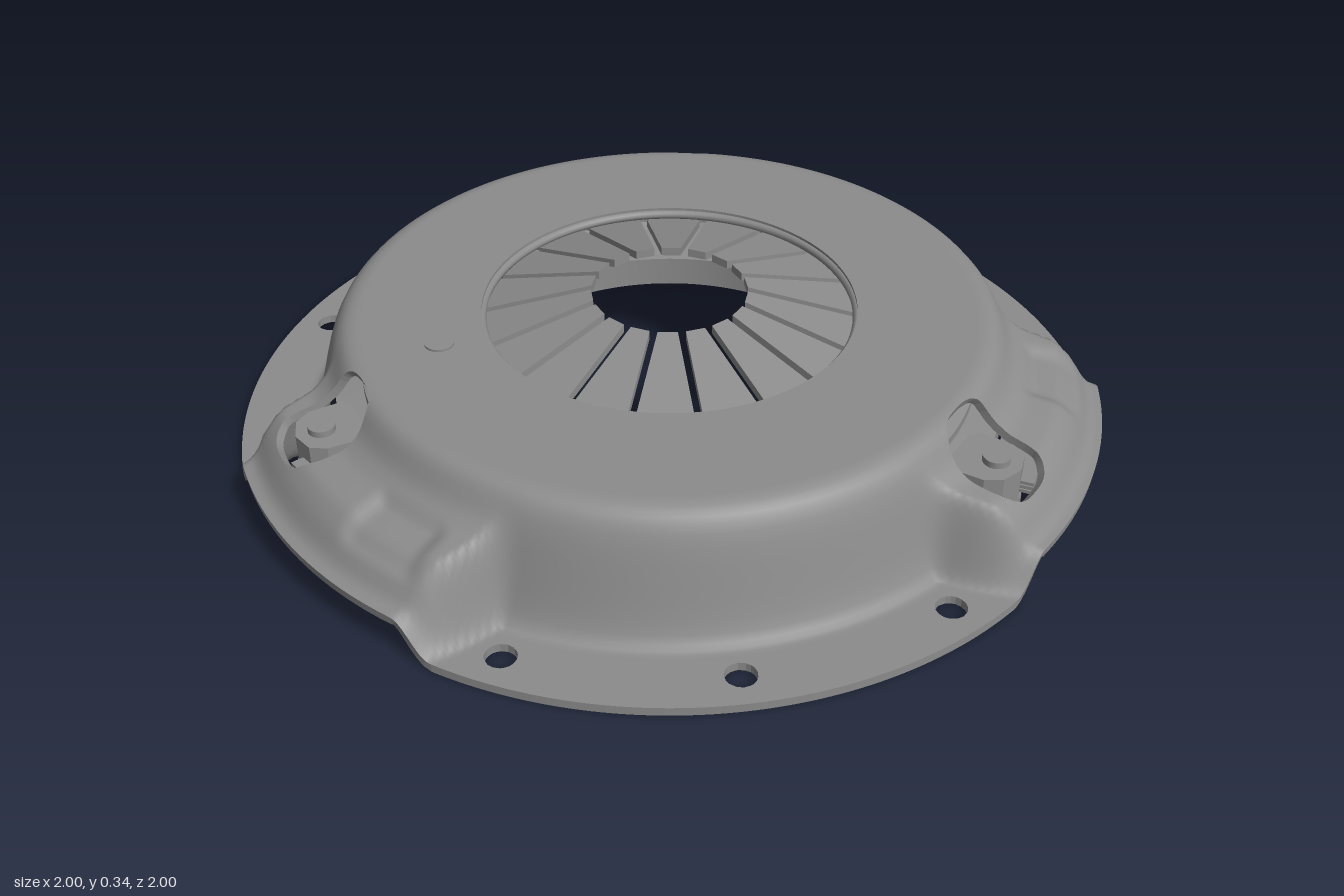
import * as THREE from 'three';
import { toCreasedNormals } from 'three/addons/utils/BufferGeometryUtils.js';

const RAD = Math.PI / 180;
const steel = new THREE.MeshStandardMaterial({ color: 0x8c8c8c });
steel.name = 'steel grey';

const SECTORS = [60, 180, 300]; // centres of the raised rim sectors, degrees from +x to +z
const WINDOW_OFFSET = 13;

// Radial profiles (radius, height) of the cover's top face
const FLANGE = [[0, 0.3], [0.72, 0.3], [0.75, 0.288], [0.775, 0.25], [0.8, 0.15], [0.825, 0.05], [0.845, 0.02], [2, 0.02]];
const RAISED = [[0, 0.3], [0.72, 0.3], [0.75, 0.288], [0.78, 0.235], [0.82, 0.207], [0.9, 0.192], [0.94, 0.155], [0.968, 0.107], [1, 0.1], [2, 0.1]];

function lookup(profile, r) {
  let i = 1;
  while (i < profile.length - 1 && profile[i][0] < r) i++;
  const [r0, y0] = profile[i - 1], [r1, y1] = profile[i];
  return y0 + (y1 - y0) * (r - r0) / (r1 - r0);
}

function smoothLookup(profile, r) {
  let sum = 0;
  for (let k = -2; k <= 2; k++) sum += lookup(profile, r + k * 0.006);
  return sum / 5;
}

// Height of the cover: flange profile blended into the raised one at each sector
function coverHeight(x, z) {
  const r = Math.hypot(x, z), deg = Math.atan2(z, x) / RAD;
  let d = 180;
  for (const c of SECTORS) {
    const e = ((deg - c + 540) % 360) - 180;
    if (Math.abs(e) < Math.abs(d)) d = e;
  }
  const half = 20.5 + (1 - Math.min(r, 1)) * 30;
  const w = THREE.MathUtils.smoothstep(half - Math.abs(d), -2.5, 2.5);
  // shallow seat for the strap rivets
  const seat = THREE.MathUtils.smoothstep(6 - Math.abs(d + 12), -1.5, 1.5)
    * THREE.MathUtils.smoothstep(0.06 - Math.abs(r - 0.88), -0.01, 0.02);
  return THREE.MathUtils.lerp(smoothLookup(FLANGE, r), smoothLookup(RAISED, r) - 0.015 * seat, w);
}

// Openings in the cover: rounded outlines in radial and tangential axes
function coverHoles() {
  const holes = [];
  for (let a = 0; a < 360; a += 30) {
    if (!SECTORS.includes(a)) holes.push({ angle: a, r: 0.922, a: 0.034, b: 0.034, n: 2 });
  }
  for (const c of SECTORS) holes.push({ angle: c + WINDOW_OFFSET, r: 0.828, a: 0.1, b: 0.095, n: 3 });
  return holes;
}

// Pressed sheet cover: polar grid, vertices snapped to hole outlines, then thickened
function coverGeometry() {
  const T = 0.02, SEG = 480, radii = [], holes = coverHoles();
  for (let i = 0; i < 6; i++) radii.push(0.43 + 0.27 * i / 6);
  for (let i = 0; i <= 30; i++) radii.push(0.7 + 0.3 * i / 30);
  const top = [], bottom = [], inside = [];
  for (const r of radii) for (let j = 0; j < SEG; j++) {
    const t = j / SEG * Math.PI * 2;
    let x = r * Math.cos(t), z = r * Math.sin(t), hit = 0;
    holes.forEach((h, k) => {
      const c = Math.cos(h.angle * RAD), s = Math.sin(h.angle * RAD);
      const u = x * c + z * s - h.r, v = z * c - x * s;
      const q = Math.pow(Math.abs(u / h.a) ** h.n + Math.abs(v / h.b) ** h.n, 1 / h.n);
      if (q >= 1) return;
      hit = k + 1;
      const g = 1 / Math.max(q, 0.001), U = h.r + u * g, V = v * g;
      x = U * c - V * s;
      z = U * s + V * c;
    });
    const y = coverHeight(x, z), e = 0.004;
    const n = new THREE.Vector3(
      (coverHeight(x - e, z) - coverHeight(x + e, z)) / (2 * e), 1,
      (coverHeight(x, z - e) - coverHeight(x, z + e)) / (2 * e)).normalize();
    top.push(x, y, z);
    bottom.push(x - n.x * T, Math.max(0, y - n.y * T), z - n.z * T);
    inside.push(hit);
  }
  const N = inside.length, index = [], edges = new Map();
  const tri = (a, b, c) => {
    if (inside[a] && inside[b] && inside[c]) return;
    index.push(a, b, c, N + a, N + c, N + b);
    for (const [p, q] of [[a, b], [b, c], [c, a]]) {
      if (!edges.delete(q * N + p)) edges.set(p * N + q, [p, q]);
    }
  };
  for (let i = 0; i < radii.length - 1; i++) for (let j = 0; j < SEG; j++) {
    const a = i * SEG + j, b = i * SEG + (j + 1) % SEG;
    tri(a, b, a + SEG);
    tri(b, b + SEG, a + SEG);
  }
  // cut edges around the rims and holes
  const pos = [...top, ...bottom];
  const at = (list, k) => list.slice(k * 3, k * 3 + 3);
  for (const [p, q] of edges.values()) {
    const o = pos.length / 3;
    pos.push(...at(top, p), ...at(top, q), ...at(bottom, q), ...at(bottom, p));
    index.push(o + 1, o, o + 3, o + 1, o + 3, o + 2);
  }
  const geo = new THREE.BufferGeometry();
  geo.setAttribute('position', new THREE.Float32BufferAttribute(pos, 3));
  geo.setIndex(index);
  geo.computeVertexNormals();
  return geo;
}

function ringGeometry(points) {
  const closed = [...points, points[0]].map(([r, y]) => new THREE.Vector2(r, y));
  return toCreasedNormals(new THREE.LatheGeometry(closed, 120), 0.5);
}

// Flat outline (radial, tangential) raised along y
function slab(points, y, height) {
  const shape = new THREE.Shape(points.map(([a, b]) => new THREE.Vector2(a, b)));
  return new THREE.ExtrudeGeometry(shape, { depth: height, bevelEnabled: false }).rotateX(-Math.PI / 2).translate(0, y, 0);
}

const springHeight = r => 0.335 - 0.27 * (r - 0.18);

// One tapered spring finger with half a keyhole cut at each root
function fingerGeometry() {
  const hw = r => r * Math.tan(10 * RAD) - 0.009;
  const side = [[0.178, hw(0.178)], [0.425, hw(0.425)], [0.432, hw(0.43) - 0.014], [0.445, hw(0.44) - 0.022],
    [0.462, hw(0.46) - 0.022], [0.475, hw(0.47) - 0.014], [0.485, hw(0.48)]];
  const geo = slab([...side.map(([r, w]) => [r, -w]), ...side.reverse()], -0.02, 0.02);
  const p = geo.attributes.position;
  for (let i = 0; i < p.count; i++) p.setY(i, p.getY(i) + springHeight(p.getX(i)));
  geo.computeVertexNormals();
  return geo;
}

export function createModel() {
  const model = new THREE.Group();
  model.name = 'clutchCover';
  const add = (name, geo, deg = 0) => {
    const mesh = new THREE.Mesh(geo, steel);
    mesh.name = name;
    mesh.rotation.y = -deg * RAD;
    model.add(mesh);
    return mesh;
  };

  add('cover', coverGeometry());

  // Diaphragm spring: 18 fingers and an outer cone hidden under the cover
  const finger = fingerGeometry();
  for (let i = 0; i < 18; i++) add('springFinger', finger, 10 + i * 20);
  add('springCone', ringGeometry([
    [0.478, springHeight(0.478) - 0.02], [0.71, springHeight(0.71) - 0.02], [0.71, springHeight(0.71)], [0.478, springHeight(0.478)]]));
  add('pivotRing', new THREE.TorusGeometry(0.432, 0.012, 10, 120).rotateX(Math.PI / 2).translate(0, 0.282, 0));

  // Pressure plate with a raised fulcrum
  add('pressurePlate', ringGeometry([
    [0.49, 0.04], [0.775, 0.04], [0.775, 0.125], [0.7, 0.135], [0.675, 0.182], [0.645, 0.182], [0.62, 0.13], [0.49, 0.115]]));

  // Lugs seen through the windows, with rivets and drive straps
  const ear = [[0.7, -0.11], [0.77, -0.085], [0.83, -0.075], [0.872, -0.055], [0.89, -0.02],
    [0.89, 0.02], [0.872, 0.055], [0.83, 0.075], [0.77, 0.085], [0.7, 0.11]];
  const head = [[0.745, -0.06], [0.765, -0.08], [0.84, -0.075], [0.875, -0.05], [0.89, 0],
    [0.875, 0.05], [0.84, 0.07], [0.765, 0.07], [0.745, 0.05]];
  const earGeo = slab(ear, 0.04, 0.085), headGeo = slab(head, 0.12, 0.085);
  const rivet = new THREE.CylinderGeometry(0.03, 0.03, 0.02, 24).translate(0.832, 0.21, 0);
  const strap = new THREE.BoxGeometry(0.1, 0.008, 0.36);
  const strapRivet = new THREE.CylinderGeometry(0.028, 0.028, 0.05, 24).translate(0.875, 0.145, 0);
  for (const c of SECTORS) {
    const w = c + WINDOW_OFFSET;
    add('plateEar', earGeo, w);
    add('plateLug', headGeo, w);
    add('lugRivet', rivet, w);
    for (let k = 0; k < 3; k++) add('driveStrap', strap.clone().translate(0.845, 0.135 + k * 0.011, 0), c);
    add('strapRivet', strapRivet, c - 11);
  }

  // Small pin set in the top face
  add('topPin', new THREE.CylinderGeometry(0.033, 0.033, 0.04, 32).translate(-0.505, 0.285, -0.185));
  return model;
}
